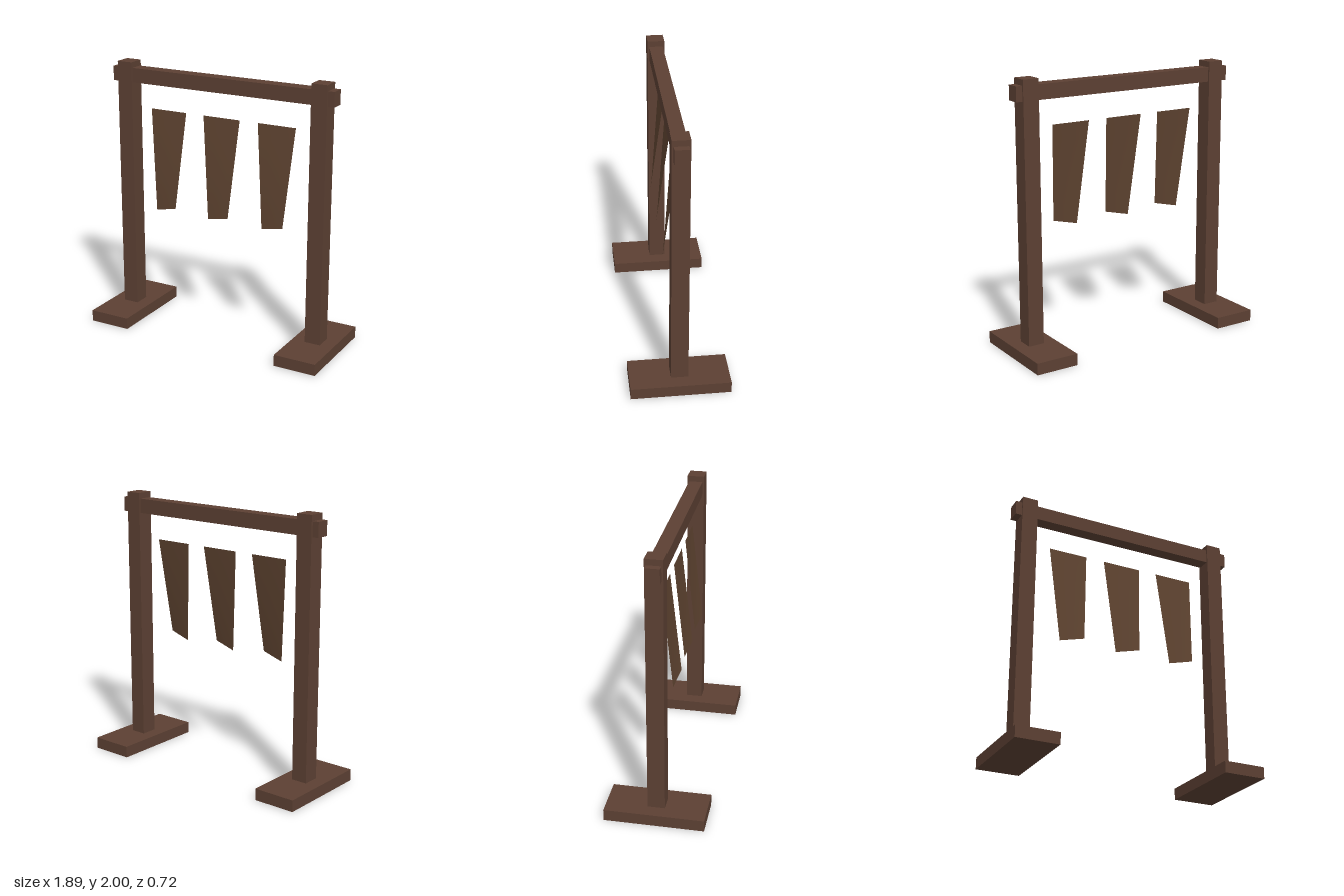
import * as THREE from 'three';

export function createModel() {
  const model = new THREE.Group();
  const wood = new THREE.MeshStandardMaterial({ color: 0x5c4033 });
  wood.name = 'dark wood';
  const fabric = new THREE.MeshStandardMaterial({ color: 0x5e4330, side: THREE.DoubleSide });
  fabric.name = 'brown cloth';

  const addBox = (name, [w, h, d], [x, y, z]) => {
    const mesh = new THREE.Mesh(new THREE.BoxGeometry(w, h, d), wood);
    mesh.name = name;
    mesh.position.set(x, y, z);
    model.add(mesh);
  };

  // Two posts, each standing on a flat foot
  for (const [side, label] of [[1, 'left'], [-1, 'right']]) {
    addBox(label + 'Foot', [0.32, 0.086, 0.722], [side * 0.787, 0.043, 0]);
    addBox(label + 'Post', [0.12, 1.914, 0.125], [side * 0.787, 1.043, 0]);
  }

  // Crossbeam whose ends stick out past the posts
  addBox('crossbeam', [1.79, 0.108, 0.1], [0, 1.903, 0]);

  // Hanging cloth: a tapering sheet blended between four corners, swung forward at the bottom
  const topLeft = new THREE.Vector3(-0.149, 1.657, 0);
  const topRight = new THREE.Vector3(0.149, 1.657, 0);
  const bottomLeft = new THREE.Vector3(-0.078, 0.895, 0.063);
  const bottomRight = new THREE.Vector3(0.102, 0.935, 0.09);
  const cloth = new THREE.PlaneGeometry(1, 1, 4, 6);
  const pos = cloth.attributes.position;
  const upper = new THREE.Vector3();
  const lower = new THREE.Vector3();
  for (let i = 0; i < pos.count; i++) {
    const u = pos.getX(i) + 0.5;
    const v = 0.5 - pos.getY(i);
    upper.lerpVectors(topLeft, topRight, u);
    lower.lerpVectors(bottomLeft, bottomRight, u);
    upper.lerp(lower, v);
    pos.setXYZ(i, upper.x, upper.y, upper.z);
  }
  cloth.computeVertexNormals();

  for (let i = 0; i < 3; i++) {
    const mesh = new THREE.Mesh(cloth, fabric);
    mesh.name = 'hangingCloth' + (i + 1);
    mesh.position.x = -0.003 + (i - 1) * 0.444;
    model.add(mesh);
  }
  return model;
}
